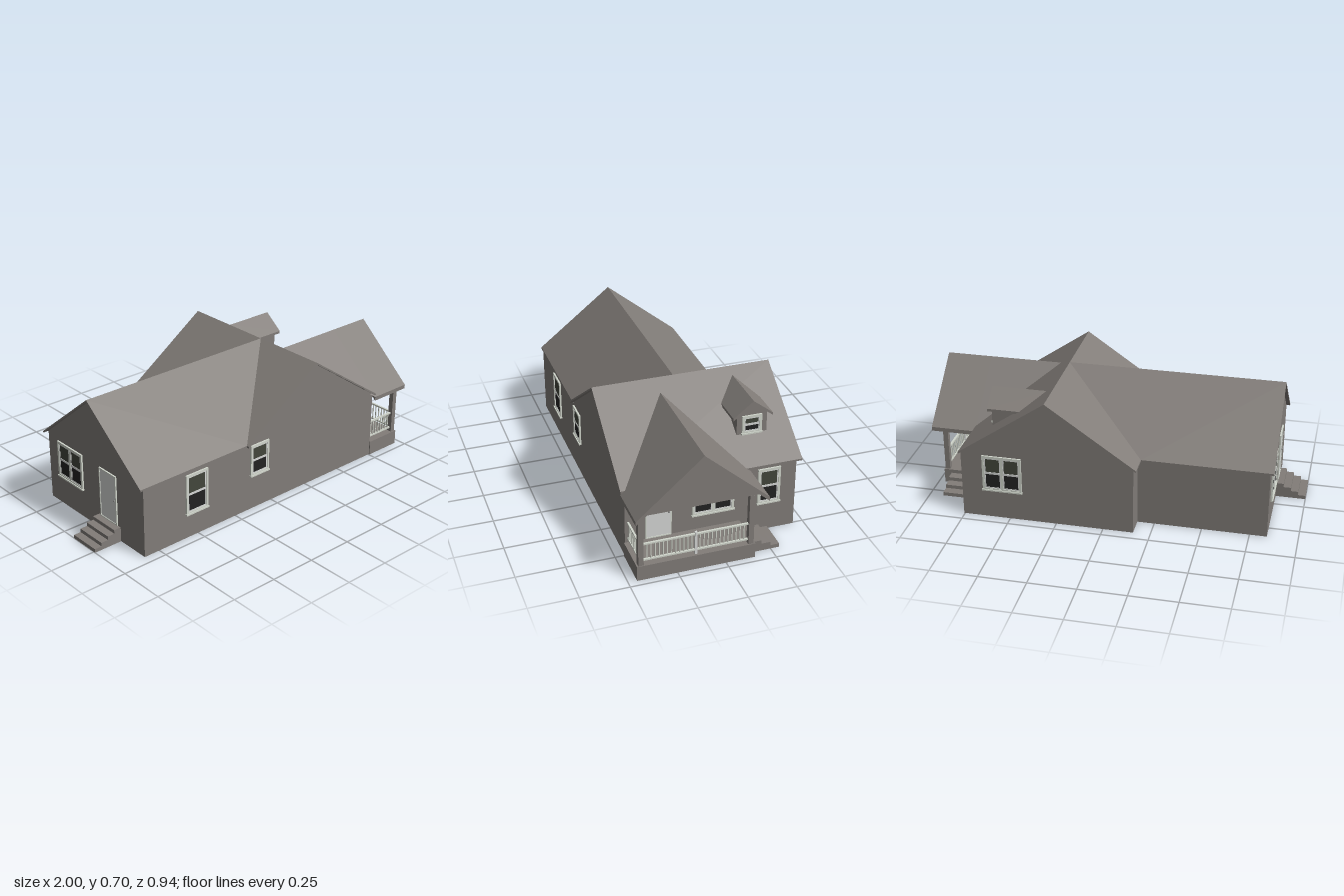
import * as THREE from 'three';

const mat = (name, color, side = THREE.FrontSide) => {
  const m = new THREE.MeshStandardMaterial({ color, side });
  m.name = name;
  return m;
};

export function createModel() {
  const house = new THREE.Group();
  house.name = 'house';
  const siding = mat('warm grey siding', 0x827d79, THREE.DoubleSide);
  const trim = mat('pale trim', 0xd2d7cd);
  const white = mat('white paint', 0xd6d8d6);
  const glass = mat('green glass', 0x43473c);
  const screen = mat('dark screen', 0x232323);
  const steel = mat('steel', 0x8c8c8a);

  const add = (name, geo, m, parent = house) => {
    const mesh = new THREE.Mesh(geo, m);
    mesh.name = name;
    parent.add(mesh);
    return mesh;
  };
  // box given by its minimum and maximum on each axis
  const box = (name, [x0, x1], [y0, y1], [z0, z1], m, parent) =>
    add(name, new THREE.BoxGeometry(x1 - x0, y1 - y0, z1 - z0), m, parent)
      .position.set((x0 + x1) / 2, (y0 + y1) / 2, (z0 + z1) / 2);
  const fan = (out, pts) => {
    for (let i = 1; i < pts.length - 1; i++) out.push(...pts[0], ...pts[i], ...pts[i + 1]);
  };
  const mesh = (name, pos) => {
    const g = new THREE.BufferGeometry();
    g.setAttribute('position', new THREE.Float32BufferAttribute(pos, 3));
    g.computeVertexNormals();
    return add(name, g, siding);
  };
  // flat wall, fanned from its first corner
  const wall = (name, ...pts) => {
    const pos = [];
    fan(pos, pts);
    return mesh(name, pos);
  };
  // roof plane with a vertical thickness
  const slab = (name, t, ...pts) => {
    const pos = [];
    const low = pts.map(([x, y, z]) => [x, y - t, z]);
    fan(pos, pts);
    fan(pos, [...low].reverse());
    pts.forEach((p, i) => {
      const j = (i + 1) % pts.length;
      fan(pos, [p, low[i], low[j], pts[j]]);
    });
    return mesh(name, pos);
  };

  // outer walls, open underneath
  wall('frontWall', [-0.175, 0.373, 0.45], [-0.84, 0.373, 0.45], [-0.84, 0, 0.45], [0.755, 0, 0.45],
    [0.755, 0.373, 0.45], [0.29, 0.695, 0.45]);
  wall('backGableWall', [0.29, 0.695, -0.445], [0.755, 0.373, -0.445], [0.755, 0, -0.445],
    [-0.16, 0, -0.445], [-0.16, 0.383, -0.445]);
  wall('recessWall', [-0.16, 0, -0.445], [-0.16, 0.383, -0.445], [-0.16, 0.383, -0.335], [-0.16, 0, -0.335]);
  wall('wingBackWall', [-0.16, 0, -0.335], [-0.16, 0.385, -0.335], [-0.84, 0.385, -0.335], [-0.84, 0, -0.335]);
  wall('wingGableWall', [-0.84, 0.695, 0.045], [-0.84, 0.385, -0.335], [-0.84, 0, -0.335],
    [-0.84, 0, 0.45], [-0.84, 0.373, 0.45]);
  wall('porchSideWall', [0.755, 0, 0.45], [0.755, 0.373, 0.45], [0.755, 0.373, -0.445], [0.755, 0, -0.445]);

  // main roof, ridge along z, with valleys into the wing
  const T = 0.01, R = 0.705, E = 0.382;
  slab('mainRoofLeft', T, [0.29, R, -0.475], [0.29, R, 0.47], [0.76, E, 0.47], [0.76, E, -0.475]);
  slab('mainRoofRightBack', T, [0.29, R, -0.475], [-0.18, E, -0.475], [-0.18, E, -0.355], [0.29, R, 0.045]);
  slab('mainRoofRightFront', T, [0.29, R, 0.47], [0.29, R, 0.045], [-0.18, E, 0.455], [-0.18, E, 0.47]);
  // wing roof, ridge along x
  for (const [name, z] of [['wingRoofBack', -0.355], ['wingRoofFront', 0.455]])
    slab(name, T, [-0.86, R, 0.045], [0.29, R, 0.045], [-0.18, E, z], [-0.86, E, z]);

  // porch roof, gable and ceiling
  for (const [name, z] of [['porchRoofBack', -0.2], ['porchRoofFront', 0.47]]) {
    slab(name, 0.022, [0.757, 0.655, 0.135], [1, 0.655, 0.135], [1, 0.362, z], [0.757, 0.362, z]);
    wall(name + 'Valley', [0.36, 0.655, 0.135], [0.757, 0.655, 0.135], [0.757, 0.362, z]);
  }
  wall('porchGable', [0.96, 0.636, 0.135], [0.96, 0.36, 0.455], [0.96, 0.36, -0.185]);
  wall('porchCeiling', [0.755, 0.36, 0.455], [0.96, 0.36, 0.455], [0.96, 0.36, -0.185], [0.755, 0.36, -0.185]);
  box('porchBase', [0.755, 0.965], [0, 0.08], [-0.15, 0.455], siding);
  for (const z of [-0.142, 0.42]) box('porchPost', [0.934, 0.961], [0.08, 0.36], [z, z + 0.027], siding);

  // porch railings
  for (const y of [0.1, 0.19]) {
    box('frontRail', [0.942, 0.953], [y, y + 0.008], [-0.115, 0.42], trim);
    box('sideRail', [0.755, 0.934], [y, y + 0.008], [0.428, 0.438], trim);
  }
  for (let i = 1; i < 26; i++) {
    const z = -0.115 + i * 0.535 / 26;
    box('frontBaluster', [0.945, 0.95], [0.1, 0.19], [z - 0.0025, z + 0.0025], trim);
  }
  for (let i = 1; i < 9; i++) {
    const x = 0.755 + i * 0.02;
    box('sideBaluster', [x - 0.0025, x + 0.0025], [0.1, 0.19], [0.431, 0.436], trim);
  }
  box('railPost', [0.941, 0.954], [0.08, 0.206], [0.147, 0.159], white);

  // steps beside the porch and at the wing door
  for (let i = 0; i < 3; i++)
    box('porchStep', [0.765, 0.925], [0, 0.06 - i * 0.02], [-0.2 - i * 0.048, -0.15 - i * 0.048], siding);
  for (let i = 0; i < 4; i++)
    box('wingStep', [-0.88 - i * 0.04, -0.84 - i * 0.04], [0, 0.08 - i * 0.02], [0.085, 0.26], siding);

  // dormer
  wall('dormerFront', [0.608, 0.66, -0.26], [0.608, 0.595, -0.34], [0.608, 0.485, -0.34],
    [0.608, 0.485, -0.18], [0.608, 0.595, -0.18]);
  for (const s of [-1, 1]) {
    const z = -0.26 + s * 0.08, e = -0.26 + s * 0.105;
    wall('dormerSide', [0.608, 0.485, z], [0.608, 0.6, z], [0.44, 0.6, z]);
    slab('dormerRoof', 0.014, [0.335, 0.674, -0.26], [0.625, 0.674, -0.26], [0.625, 0.592, e], [0.454, 0.592, e]);
  }

  // sash window centred on the origin, facing +z
  const place = (g, x, y, z, turn) => {
    g.position.set(x, y, z);
    g.rotation.y = turn;
    house.add(g);
    return g;
  };
  const frame = (name, w, h, b, d, m, g, cx = 0, cy = 0) => {
    for (const s of [-1, 1]) {
      const x = cx + s * (w - b) / 2, y = cy + s * (h - b) / 2;
      box(name, [x - b / 2, x + b / 2], [cy - h / 2, cy + h / 2], [-d, d], m, g);
      box(name, [cx - w / 2 + b, cx + w / 2 - b], [y - b / 2, y + b / 2], [-d, d], m, g);
    }
  };
  const sashWindow = (name, w, h, units, x, y, z, turn) => {
    const g = place(new THREE.Group(), x, y, z, turn);
    g.name = name;
    const b = 0.012, uw = (w - b) / units;
    frame('casing', w, h, b, 0.009, trim, g);
    box('sill', [-w / 2 - 0.003, w / 2 + 0.003], [-h / 2 - 0.003, -h / 2 + 0.005], [-0.009, 0.014], trim, g);
    for (let i = 0; i < units; i++) {
      const cx = (i - (units - 1) / 2) * uw, sw = uw - b, sh = h / 2 - b;
      if (i) box('mullion', [cx - uw / 2 - b / 2, cx - uw / 2 + b / 2], [-h / 2 + b, h / 2 - b], [-0.008, 0.008], trim, g);
      for (const [s, m] of [[1, glass], [-1, screen]]) {
        const cy = s * sh / 2;
        frame('sash', sw, sh, 0.006, 0.006, white, g, cx, cy);
        box('pane', [cx - sw / 2 + 0.006, cx + sw / 2 - 0.006], [cy - sh / 2 + 0.006, cy + sh / 2 - 0.006],
          [-0.004, 0.004], m, g);
      }
    }
  };
  const Q = Math.PI / 2;
  sashWindow('frontWindowLarge', 0.14, 0.22, 1, -0.51, 0.245, 0.45, 0);
  sashWindow('frontWindowSmall', 0.125, 0.175, 1, -0.09, 0.282, 0.45, 0);
  sashWindow('porchWindow', 0.22, 0.196, 2, 0.755, 0.262, -0.005, Q);
  sashWindow('sideWindow', 0.12, 0.2, 1, 0.755, 0.261, -0.3, Q);
  sashWindow('dormerWindow', 0.105, 0.1, 1, 0.608, 0.54, -0.259, Q);
  sashWindow('backWindow', 0.21, 0.2, 2, 0.535, 0.263, -0.445, 2 * Q);
  sashWindow('wingWindow', 0.21, 0.2, 2, -0.84, 0.263, -0.145, -Q);

  // doors
  const door = (name, x, z, turn) => {
    const g = place(new THREE.Group(), x, 0.22, z, turn);
    g.name = name;
    frame('doorFrame', 0.135, 0.276, 0.006, 0.008, trim, g);
    box('doorPanel', [-0.0615, 0.0615], [-0.132, 0.132], [-0.0045, 0.0045], white, g);
    add('doorKnob', new THREE.SphereGeometry(0.005, 10, 8), steel, g).position.set(0.053, -0.003, 0.008);
  };
  door('porchDoor', 0.755, 0.279, Q);
  door('wingDoor', -0.84, 0.172, -Q);

  return house;
}
